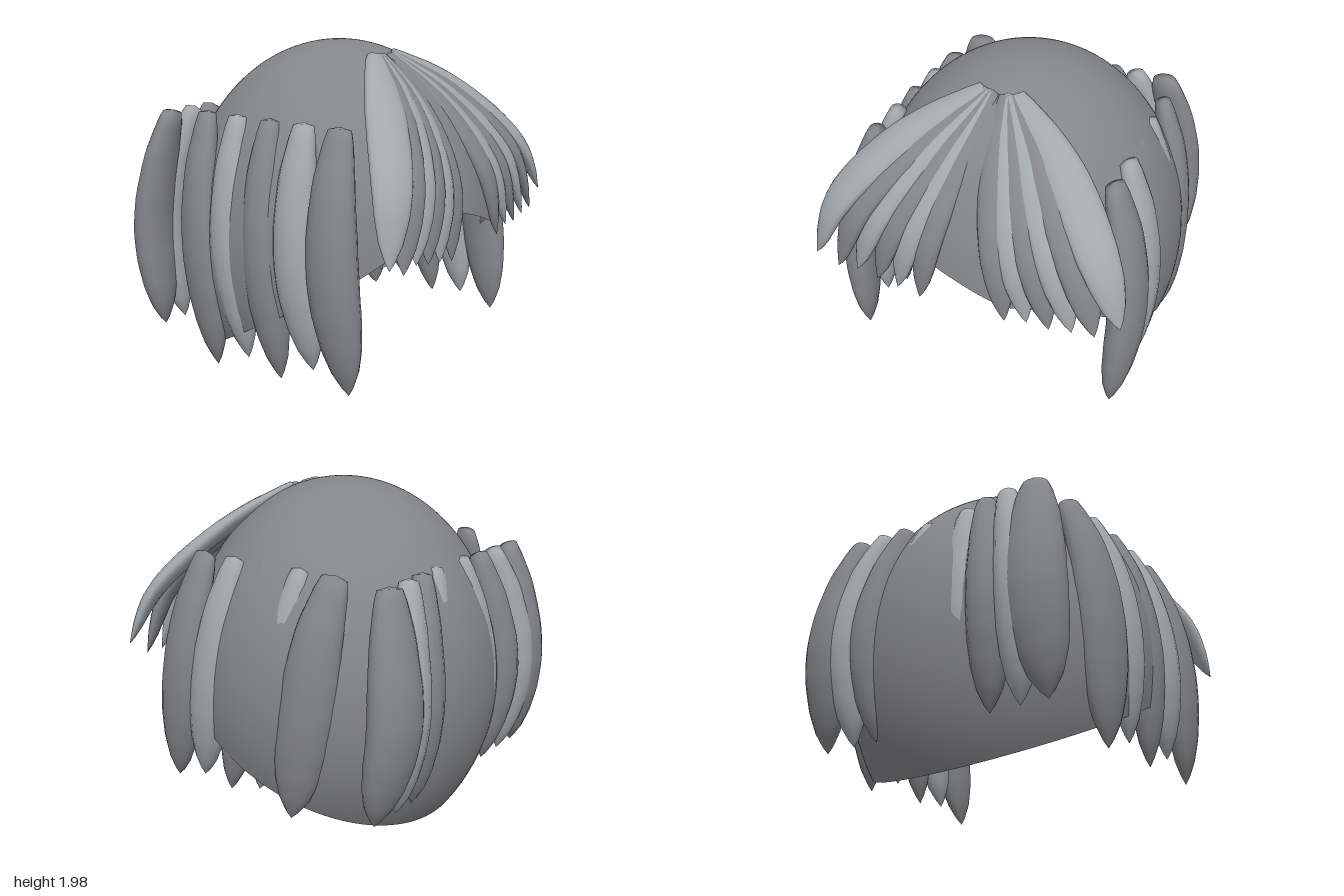
import * as THREE from 'three';

const dark = new THREE.MeshStandardMaterial({ color: 0x85868a, side: THREE.DoubleSide });
const light = new THREE.MeshStandardMaterial({ color: 0xa3a8ac, side: THREE.DoubleSide });
const V = (x, y, z) => new THREE.Vector3(x, y, z);
const clamp = THREE.MathUtils.clamp;

// Half-width of a lock along its length: blunt root, full middle, pointed tip
const PROFILE = [[0, 0], [0.012, 0.45], [0.06, 0.58], [0.2, 0.8], [0.4, 0.97], [0.55, 1],
  [0.7, 0.94], [0.82, 0.78], [0.91, 0.53], [0.97, 0.22], [1, 0]];
function profile(t) {
  let i = 1;
  while (i < PROFILE.length - 1 && t > PROFILE[i][0]) i++;
  const [t0, a] = PROFILE[i - 1], [t1, b] = PROFILE[i];
  return a + (b - a) * (t - t0) / (t1 - t0);
}

// One lock: elliptical sections swept along a curve, broad side facing out
function lock(name, points, out, halfWidth, halfDepth, material) {
  const curve = new THREE.CatmullRomCurve3(points);
  const rows = 32, sides = 16, pos = [], index = [];
  for (let i = 0; i <= rows; i++) {
    const t = i === 1 ? 0.012 : i / rows;
    const c = curve.getPointAt(t), tangent = curve.getTangentAt(t);
    const w = tangent.clone().cross(out).normalize();
    const n = w.clone().cross(tangent).normalize();
    const r = profile(t);
    for (let j = 0; j < sides; j++) {
      const a = j / sides * Math.PI * 2;
      const p = c.clone().addScaledVector(w, Math.cos(a) * halfWidth * r)
        .addScaledVector(n, Math.sin(a) * halfDepth * r);
      pos.push(p.x, p.y, p.z);
      if (i < rows) {
        const k = i * sides + j, m = i * sides + (j + 1) % sides;
        index.push(k, k + sides, m, m, k + sides, m + sides);
      }
    }
  }
  const g = new THREE.BufferGeometry();
  g.setAttribute('position', new THREE.Float32BufferAttribute(pos, 3));
  g.setIndex(index);
  g.computeVertexNormals();
  const mesh = new THREE.Mesh(g, material);
  mesh.name = name;
  return mesh;
}

// Height of the slanted lower rim, raised in an uneven arch over the forehead
function rimHeight(x, z) {
  let y = 0.395 + 0.555 * z;
  if (z > 0) {
    y += 0.18 * clamp(Math.min((0.3 - x) / 0.5, (x + 0.8) / 0.6), 0, 1);
    y += 0.05 * clamp(Math.min((x - 0.2) / 0.3, (0.85 - x) / 0.15), 0, 1);
  }
  return y;
}

// Egg-shaped shell: a grid wrapped round, each meridian running from crown to rim
function cap() {
  const R = V(0.96, 1.18, 0.97), cy = 0.8;
  const g = new THREE.PlaneGeometry(1, 1, 96, 48);
  const pos = g.attributes.position, nor = g.attributes.normal, uv = g.attributes.uv;
  const at = (phi, th) => V(-Math.cos(phi) * Math.sin(th) * R.x, cy + Math.cos(th) * R.y,
    Math.sin(phi) * Math.sin(th) * R.z);
  for (let i = 0; i < pos.count; i++) {
    const phi = uv.getX(i) * Math.PI * 2;
    let lo = 0.5, hi = 2.8;
    for (let k = 0; k < 24; k++) {
      const mid = (lo + hi) / 2, q = at(phi, mid);
      if (q.y > rimHeight(q.x, q.z)) lo = mid; else hi = mid;
    }
    const p = at(phi, lo * (1 - uv.getY(i)));
    pos.setXYZ(i, p.x, p.y, p.z);
    const n = V(p.x / R.x ** 2, (p.y - cy) / R.y ** 2, p.z / R.z ** 2).normalize();
    nor.setXYZ(i, n.x, n.y, n.z);
  }
  const mesh = new THREE.Mesh(g, dark);
  mesh.name = 'cap';
  return mesh;
}

export function createModel() {
  const model = new THREE.Group();
  model.name = 'hair';
  model.add(cap());

  // Fringe: two fans spreading from the parting; tips are [x, y], outermost first
  const fans = {
    right: [-1, 0.06, [[0.92, 0.94], [0.78, 0.88], [0.65, 0.9], [0.52, 0.87], [0.39, 0.85], [0.25, 0.82]]],
    left: [1, 0.025, [[0.95, 1.0], [0.81, 0.9], [0.68, 0.89], [0.55, 0.87], [0.42, 0.88], [0.29, 0.85]]],
  };
  for (const [side, [s, root, tips]] of Object.entries(fans)) {
    const fan = new THREE.Group();
    fan.name = side + 'Fringe';
    tips.forEach(([x, y], i) => {
      const f = 1 - i / 5, x0 = root + 0.04 * f, dx = x - x0, dz = s > 0 ? -0.05 * f : 0.02 * f;
      fan.add(lock('fringeLock', [
        V(s * x0, 1.91, 0.33),
        V(s * (x0 + dx * (0.34 + 0.12 * f)), 1.6 + 0.06 * f, 0.665 - 0.04 * f + dz),
        V(s * (x0 + dx * (0.72 + 0.1 * f)), 1.24 + 0.08 * f, 0.885 - 0.02 * f + dz),
        V(s * x, y, 0.95 + dz),
      ], V(s * (0.15 + 0.4 * f), 0.4, 0.8), 0.1 + 0.025 * f, 0.055, i % 2 ? dark : light));
    });
    model.add(fan);
  }

  // Side locks: slant towards the tip, then [root z, middle x, half width, tip y], front to back
  const sides = {
    left: [1, 0.2, [[0.45, 0.865, 0.155, 0.16], [0.22, 0.86, 0.14, 0.23], [0, 0.82, 0.12, 0.2],
      [-0.23, 0.815, 0.12, 0.27], [-0.47, 0.82, 0.165, 0.16]]],
    right: [-1, 0.14, [[0.52, 0.87, 0.15, 0.15], [0.28, 0.87, 0.135, 0.24], [0.05, 0.875, 0.125, 0.13],
      [-0.19, 0.87, 0.125, 0.2], [-0.43, 0.86, 0.155, 0.1]]],
  };
  for (const [side, [s, slant, list]] of Object.entries(sides)) {
    const group = new THREE.Group();
    group.name = side + 'SideLocks';
    list.forEach(([z, x, w, tip], i) => {
      group.add(lock('sideLock', [
        V(s * (x - 0.155), 1.6, z),
        V(s * (x - 0.05), 1.25, z + slant * 0.2),
        V(s * x, 0.8, z + slant * 0.45),
        V(s * 0.83, tip, z + slant),
      ], V(s, 0, z < -0.4 ? -0.4 : z * 0.3), w, 0.105, i % 2 ? light : dark));
    });
    model.add(group);
  }

  // Back locks: [root x, middle x, tip x, half width, middle z]
  const back = new THREE.Group();
  back.name = 'backLocks';
  [[-0.68, -0.75, -0.77, 0.175, -0.86], [-0.49, -0.64, -0.6, 0.13, -0.86],
    [-0.34, -0.45, -0.41, 0.13, -0.855], [-0.19, -0.25, -0.22, 0.13, -0.82],
    [-0.05, -0.04, -0.03, 0.13, -0.8], [0.08, 0.18, 0.16, 0.13, -0.82],
    [0.24, 0.38, 0.36, 0.13, -0.855], [0.39, 0.54, 0.52, 0.13, -0.87],
    [0.58, 0.68, 0.72, 0.175, -0.88],
  ].forEach(([x0, xm, x1, w, z], i) => {
    back.add(lock('backLock', [
      V(x0, 1.57, z + 0.12),
      V(x0 + (xm - x0) * 0.65, 1.22, z + 0.04),
      V(xm, 0.82, z),
      V(x1, 0.23, -0.78),
    ], V(x0 * 0.5, 0, -1), w, 0.115, i % 2 ? light : dark));
  });
  model.add(back);
  return model;
}
